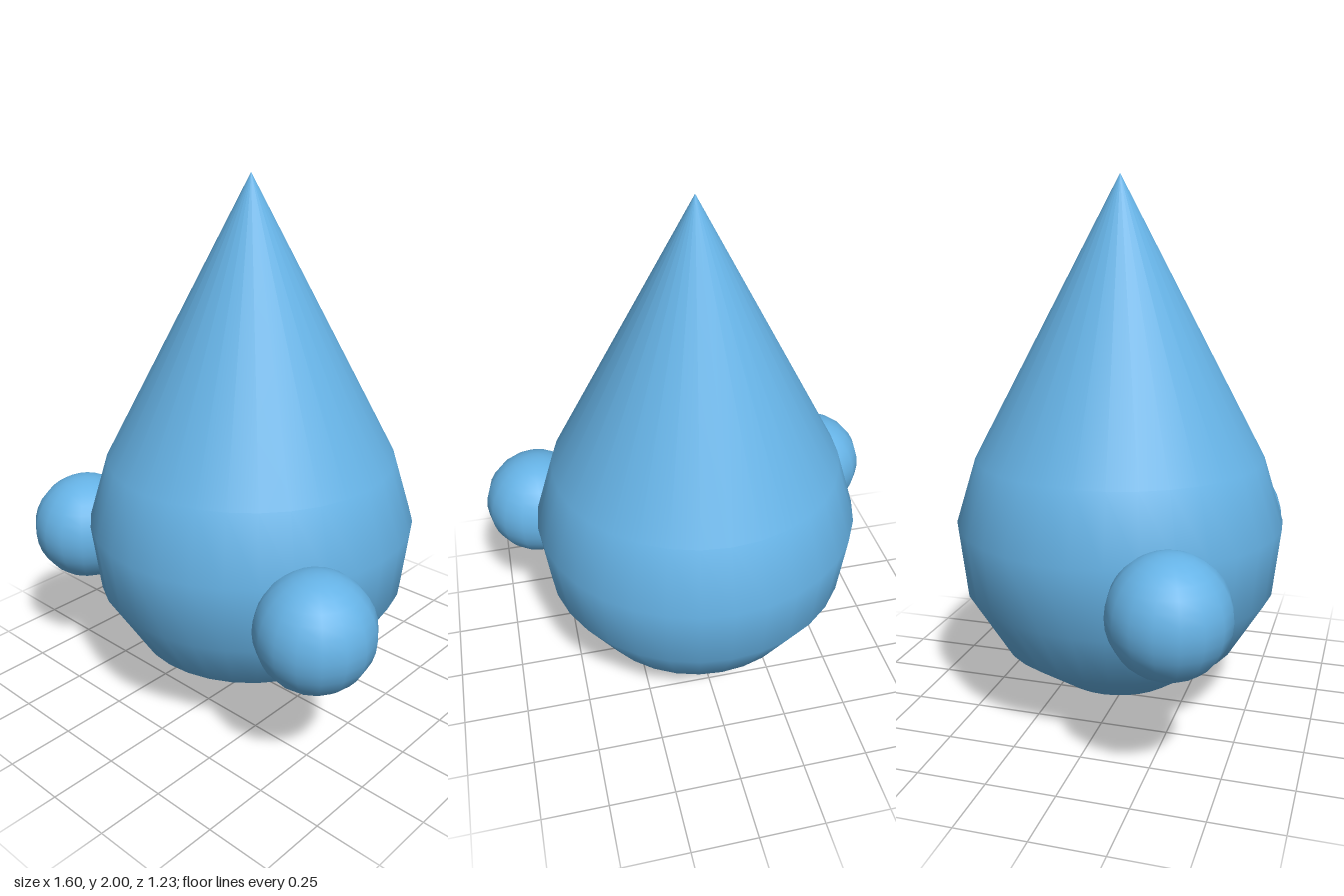
import * as THREE from 'three';

export function createModel() {
  const group = new THREE.Group();
  const material = new THREE.MeshStandardMaterial({ color: 0x66b3e6 });

  // Drop-shaped body, turned from a short faceted profile
  const profile = [
    [0, 0], [0.235, 0.11], [0.45, 0.26], [0.585, 0.48],
    [0.615, 0.735], [0.54, 0.98], [0, 2],
  ].map(([r, y]) => new THREE.Vector2(r, y));
  const body = new THREE.Mesh(new THREE.LatheGeometry(profile, 32), material);
  body.name = 'dropBody';
  group.add(body);

  // Round hands, mirrored left and right
  const handGeometry = new THREE.SphereGeometry(0.21, 16, 16);
  for (const side of [1, -1]) {
    const hand = new THREE.Mesh(handGeometry, material);
    hand.name = side > 0 ? 'leftHand' : 'rightHand';
    hand.position.set(side * 0.59, 0.605, 0.335);
    group.add(hand);
  }
  return group;
}
